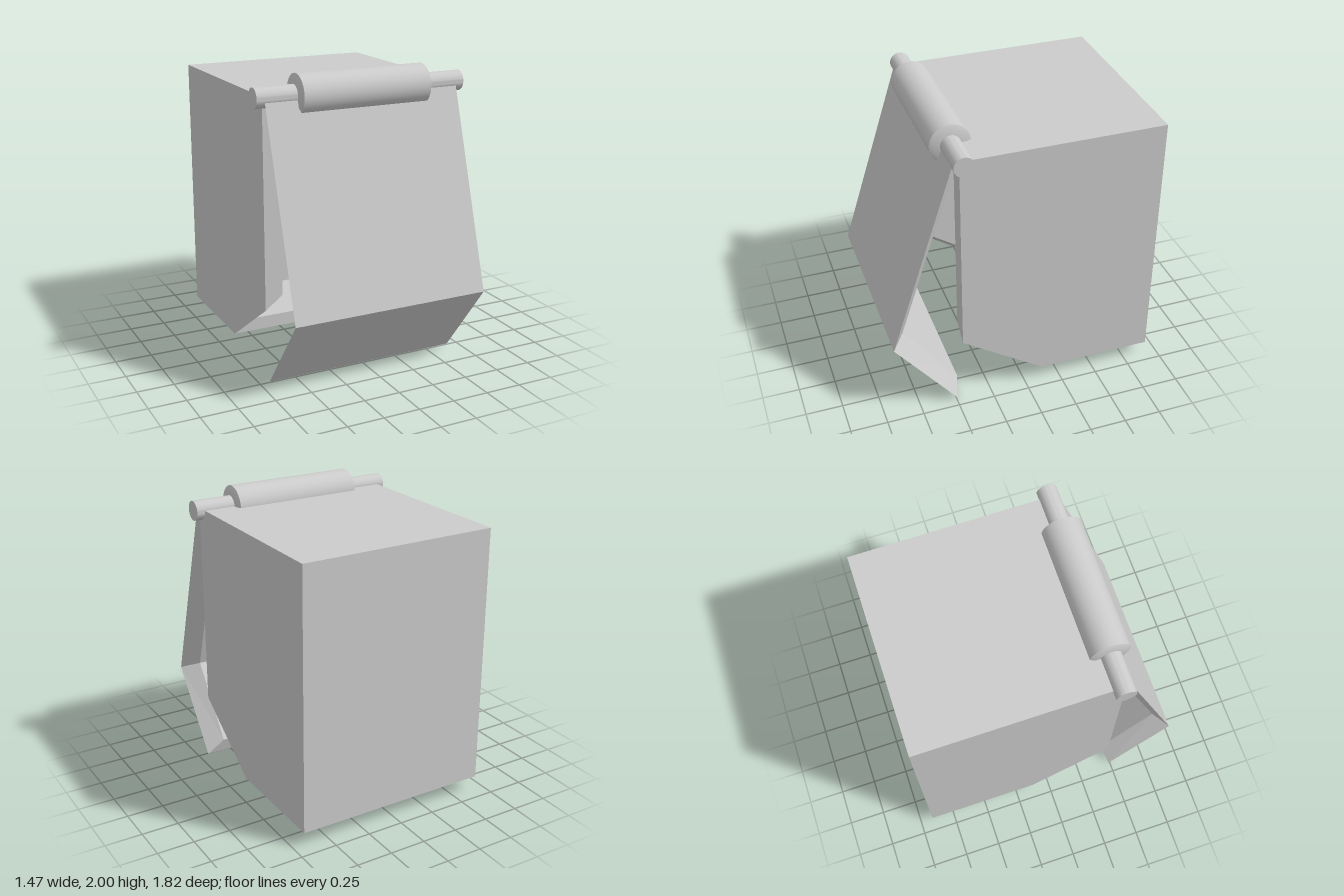
import * as THREE from 'three';
import { toCreasedNormals } from 'three/addons/utils/BufferGeometryUtils.js';

const material = () => new THREE.MeshStandardMaterial({ color: 0xcccccc });

// Six-corner loop, counter-clockwise from the front: top, crease and bottom given as [y, z]
function loop(halfWidth, top, crease, bottom) {
  const side = (x, points) => points.map(([y, z]) => [x, y, z]);
  return [
    ...side(-halfWidth, [top, crease, bottom]),
    ...side(halfWidth, [bottom, crease, top]),
  ];
}

// Solid stitched through a series of loops, closed at both ends
function stitch(name, loops) {
  const positions = [];
  const quad = (a, b, c, d) => positions.push(...a, ...b, ...c, ...a, ...c, ...d);
  for (let k = 0; k < loops.length - 1; k++) {
    const a = loops[k], b = loops[k + 1];
    for (let i = 0; i < 6; i++) {
      const j = (i + 1) % 6;
      quad(a[i], a[j], b[j], b[i]);
    }
  }
  const s = loops[0], e = loops[loops.length - 1];
  quad(s[5], s[4], s[1], s[0]);
  quad(s[4], s[3], s[2], s[1]);
  quad(e[0], e[1], e[4], e[5]);
  quad(e[1], e[2], e[3], e[4]);
  const geometry = new THREE.BufferGeometry();
  geometry.setAttribute('position', new THREE.Float32BufferAttribute(positions, 3));
  geometry.computeVertexNormals();
  const mesh = new THREE.Mesh(geometry, material());
  mesh.name = name;
  return mesh;
}

// Round bar along x, from [radius, position] pairs
function bar(name, profile) {
  const points = profile.map(([r, p]) => new THREE.Vector2(r, p));
  const geometry = toCreasedNormals(new THREE.LatheGeometry(points, 48), 0.5);
  const mesh = new THREE.Mesh(geometry, material());
  mesh.name = name;
  mesh.rotation.z = -Math.PI / 2;
  return mesh;
}

export function createModel() {
  const model = new THREE.Group();
  const outer = 0.68, inner = 0.56;

  // Hollow box, open at the front and along the lower front slope
  model.add(stitch('body', [
    loop(outer, [1.875, -0.91], [0.48, -0.91], [0.1, -0.91]),
    loop(outer, [1.875, 0.445], [0.48, 0.445], [0.1, -0.12]),
    loop(inner, [1.78, 0.445], [0.57, 0.445], [0.19, -0.12]),
    loop(inner, [1.78, -0.71], [0.57, -0.71], [0.19, -0.71]),
  ]));

  // Bent door hanging open, with bevelled edges
  model.add(stitch('door', [
    loop(inner + 0.005, [1.76, 0.44], [0.58, 0.82], [0.1, 0.46]),
    loop(outer, [1.85, 0.49], [0.54, 0.91], [0, 0.49]),
  ]));

  // Hinge: thin pin through a thicker barrel with chamfered ends
  const hinge = new THREE.Group();
  hinge.name = 'hinge';
  hinge.position.set(0, 1.867, 0.43);
  hinge.add(bar('hingePin', [[0, -0.735], [0.067, -0.735], [0.067, 0.735], [0, 0.735]]));
  hinge.add(bar('hingeBarrel', [
    [0, -0.462], [0.105, -0.462], [0.133, -0.448],
    [0.133, 0.448], [0.105, 0.462], [0, 0.462],
  ]));
  model.add(hinge);
  return model;
}
